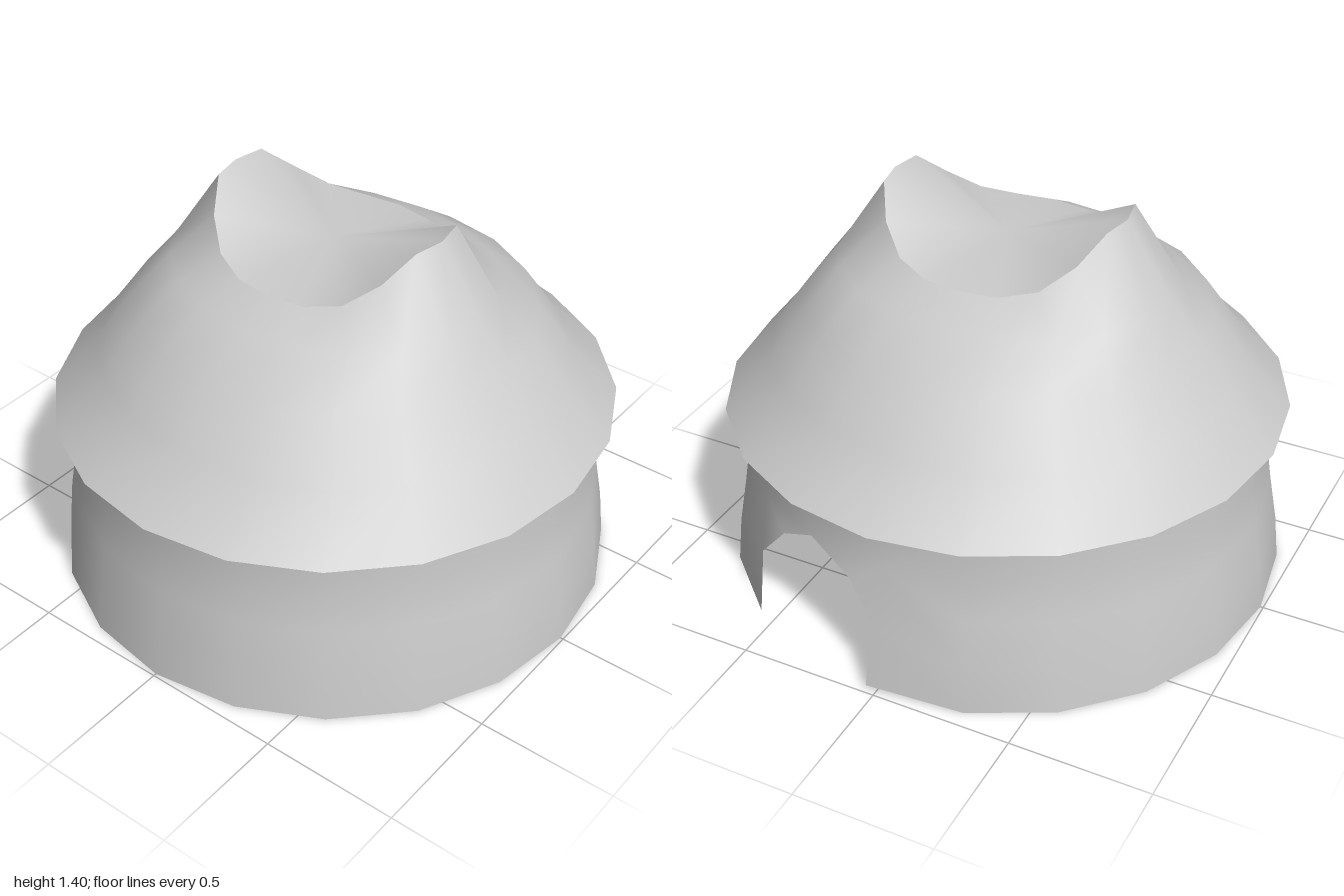
import * as THREE from 'three';
import { mergeGeometries, mergeVertices } from 'three/addons/utils/BufferGeometryUtils.js';

const SIDES = 20;
const STEP = 18; // degrees per side, measured from the back (-z) towards +x

// Wall profile: [height, radius]
const WALL = [[0, 0.99], [0.17, 0.972], [0.34, 0.942], [0.48, 0.92], [0.65, 0.92]];

const point = (deg, y, rx, rz = rx) => {
  const a = THREE.MathUtils.degToRad(deg);
  return [rx * Math.sin(a), y, -rz * Math.cos(a)];
};

function wallRadius(y) {
  for (let j = 1; j < WALL.length; j++) {
    const [y0, r0] = WALL[j - 1], [y1, r1] = WALL[j];
    if (y <= y1) return r0 + (r1 - r0) * (y - y0) / (y1 - y0);
  }
  return WALL[WALL.length - 1][1];
}

function smooth(geometry) {
  geometry.deleteAttribute('uv');
  geometry.deleteAttribute('normal');
  const merged = mergeVertices(geometry, 1e-4);
  merged.computeVertexNormals();
  return merged;
}

// Skin a stack of rings; at(i, j) gives the point of column i in ring j
function loft(rows, at, keep = () => true) {
  const positions = [], index = [], w = SIDES + 1;
  for (let j = 0; j < rows; j++) for (let i = 0; i <= SIDES; i++) positions.push(...at(i, j));
  for (let j = 0; j < rows - 1; j++) {
    for (let i = 0; i < SIDES; i++) {
      if (!keep(i, j)) continue;
      const a = j * w + i, b = a + 1, d = a + w, c = d + 1;
      index.push(b, a, d, b, d, c);
    }
  }
  const g = new THREE.BufferGeometry();
  g.setAttribute('position', new THREE.Float32BufferAttribute(positions, 3));
  g.setIndex(index);
  return g;
}

// Flat panel drawn in (angle, height), wrapped onto the wall
function wallPanel(outline) {
  const shape = new THREE.Shape(outline.map(([deg, y]) => new THREE.Vector2(-deg / 57.3, y)));
  const g = new THREE.ShapeGeometry(shape);
  const p = g.attributes.position;
  for (let i = 0; i < p.count; i++) {
    const y = p.getY(i);
    p.setXYZ(i, ...point(-p.getX(i) * 57.3, y, wallRadius(y)));
  }
  g.deleteAttribute('uv');
  g.deleteAttribute('normal');
  return g;
}

export function createModel() {
  const group = new THREE.Group();
  const material = new THREE.MeshStandardMaterial({ color: 0xcccccc, side: THREE.DoubleSide });
  const add = (name, geometry) => {
    const mesh = new THREE.Mesh(smooth(geometry), material);
    mesh.name = name;
    group.add(mesh);
  };

  // Round wall, leaving out four lower bays (-18 to 54 degrees) for the doorway
  const inDoorBay = (i) => i === SIDES - 1 || i < 3;
  const wall = loft(WALL.length, (i, j) => point(i * STEP, ...WALL[j]),
    (i, j) => j === 3 || !inDoorBay(i));

  // Jambs on both sides of the arched doorway
  const leftJamb = wallPanel([
    [18, 0.48], [36, 0.48], [54, 0.48], [54, 0.34], [54, 0.17], [54, 0],
    [34, 0.02], [35, 0.26], [27, 0.41],
  ]);
  const rightJamb = wallPanel([
    [18, 0.48], [7, 0.4], [1, 0.25], [2, 0.02],
    [-18, 0], [-18, 0.17], [-18, 0.34], [-18, 0.48], [0, 0.48],
  ]);
  add('wall', mergeGeometries([wall, leftJamb, rightJamb]));

  // Flat underside of the overhanging roof
  add('eaves', loft(2, (i, j) => point(i * STEP, 0.65, j ? 0.985 : 0.92, j ? 0.995 : 0.92)));

  // Roof rings [height, x radius, z radius]; the last one rises to a peak on each side
  const ROOF = [[0.65, 0.985, 0.995], [0.83, 0.835, 0.8], [1.01, 0.705, 0.68], [1.14, 0.605, 0.49], [0, 0.43, 0.36]];
  const RIM = [1.4, 1.4, 1.31, 1.235, 1.21, 1.21]; // from the peak to the saddle
  const roofPoint = (i, j) => {
    const [y, rx, rz] = ROOF[j];
    return point(i * STEP, j === 4 ? RIM[Math.abs((i % 10) - 5)] : y, rx, rz);
  };
  add('roof', loft(ROOF.length, roofPoint));

  // Saddle-shaped hollow between the two peaks
  add('roofHollow', loft(2, (i, j) => (j ? [0, 1.255, 0] : roofPoint(i, 4))));

  return group;
}
